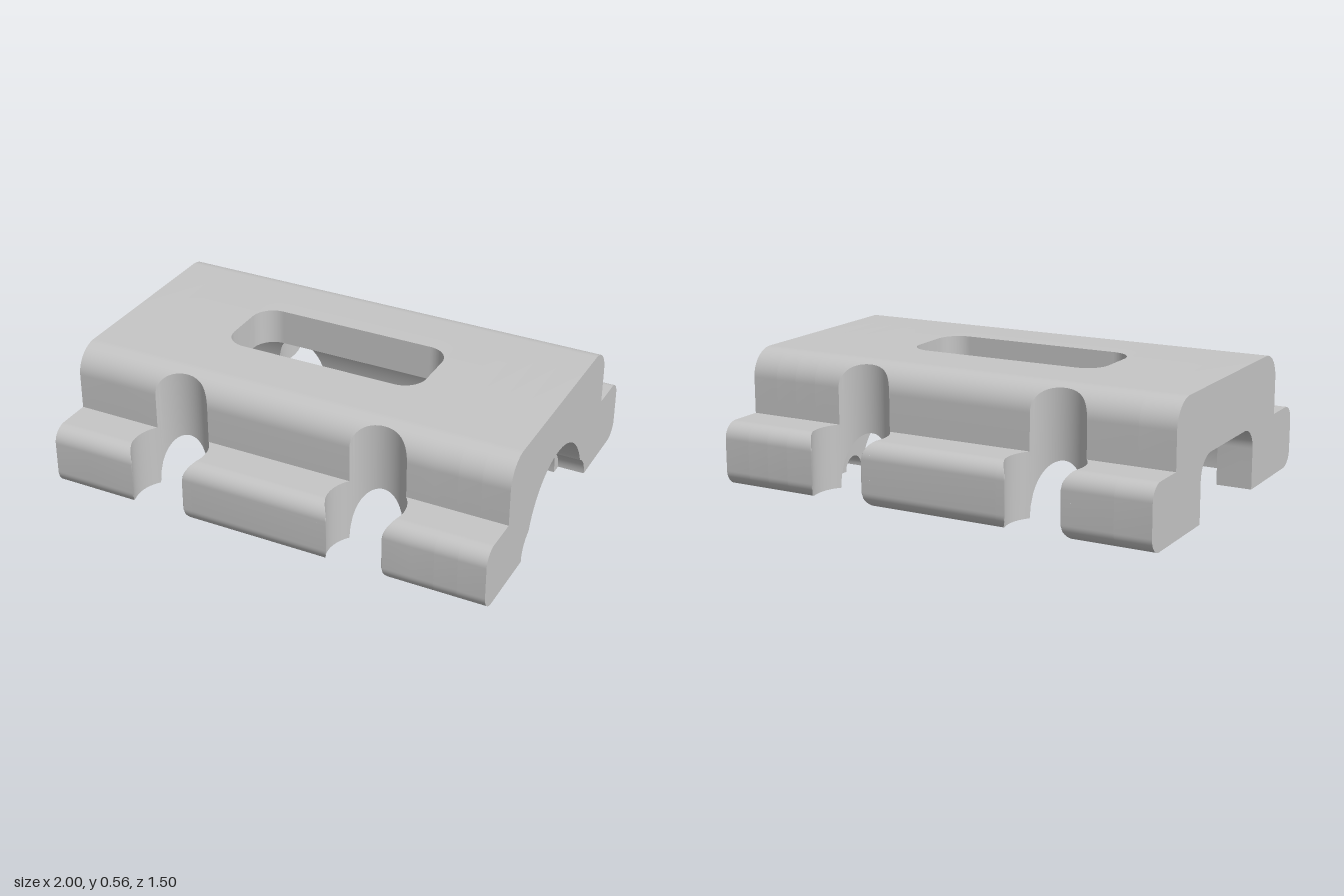
import * as THREE from 'three';
import { mergeGeometries, toCreasedNormals } from 'three/addons/utils/BufferGeometryUtils.js';

const NOTCH = { xs: [-0.49, 0.43], z: 0.64, r: 0.165 };
const SLOT = { x0: -0.49, x1: 0.43, half: 0.18, r: 0.1 };
const CAVITY = { x0: -0.84, x1: 0.68, r: 0.534, top: 0.4 };
const SHOULDER = 0.535;
const EPS = 1e-5;

// points [z, y] along an arc
function arc(cz, cy, r, from, to, n = 16) {
  return Array.from({ length: n + 1 }, (_, i) => {
    const t = from + (to - from) * i / n;
    return [cz + r * Math.cos(t), cy + r * Math.sin(t)];
  });
}
const Q = Math.PI / 2;

// half profiles from the middle plane outwards
const topProfile = [[0, 0.56], ...arc(0.415, 0.44, 0.12, Q, 0), [SHOULDER, 0.28], ...arc(0.68, 0.21, 0.07, Q, 0)];
const footCurve = arc(0.68, 0.07, 0.07, -Q, 0);
// round cavity with a flat ceiling
const cavityProfile = [[0, CAVITY.top],
  ...arc(0, 0, CAVITY.r, Math.asin(CAVITY.top / CAVITY.r), 0, 32), ...footCurve];

// part of a half profile lying between z = a and z = b
function clip(list, a, b) {
  const at = z => {
    for (let i = 1; i < list.length; i++) {
      const [p, q] = [list[i - 1], list[i]];
      if (z <= q[0] && q[0] - p[0] > 1e-9) return p[1] + (q[1] - p[1]) * (z - p[0]) / (q[0] - p[0]);
    }
    return list[list.length - 1][1];
  };
  return list.map(([z, y]) => (z < a ? [a, at(a)] : z > b ? [b, at(b)] : [z, y]));
}

// solid between z = inner(x) and z = outer(x), lofted along x
function loft(xs, inner, outer, side) {
  const pos = [];
  const loops = xs.map(x => {
    const a = inner(x), b = outer(x);
    return [...clip(topProfile, a, b), ...clip(cavityProfile, a, b).reverse()]
      .map(([z, y]) => new THREE.Vector3(x, y, z * side));
  });
  const area = new THREE.Triangle();
  const tri = (p, q, r) => {
    if (area.set(p, q, r).getArea() < 1e-12) return;
    for (const v of side > 0 ? [p, q, r] : [p, r, q]) pos.push(v.x, v.y, v.z);
  };
  for (let i = 0; i + 1 < loops.length; i++) {
    const A = loops[i], B = loops[i + 1];
    for (let k = 0; k < A.length; k++) {
      const m = (k + 1) % A.length;
      if ([A[k], A[m], B[k], B[m]].every(v => Math.abs(v.z) < 1e-6)) continue;
      tri(A[k], A[m], B[m]);
      tri(A[k], B[m], B[k]);
    }
  }
  const g = new THREE.BufferGeometry();
  g.setAttribute('position', new THREE.Float32BufferAttribute(pos, 3));
  return g;
}

// smooth curves, sharp edges
function crease(g) {
  g.scale(100, 100, 100);
  const out = toCreasedNormals(g, 0.5);
  return out.scale(0.01, 0.01, 0.01);
}

// slot half width at x
function slotEdge(x) {
  if (x <= SLOT.x0 || x >= SLOT.x1) return 0;
  const d = Math.min(x - SLOT.x0, SLOT.x1 - x, SLOT.r);
  return SLOT.half - SLOT.r + Math.sqrt(Math.max(0, SLOT.r ** 2 - (SLOT.r - d) ** 2));
}

// outer limit at x, cut back by the round notches
function notchEdge(x) {
  for (const c of NOTCH.xs) {
    const d = Math.abs(x - c);
    if (d < NOTCH.r) return NOTCH.z - Math.sqrt(NOTCH.r ** 2 - d * d);
  }
  return 0.75;
}

function middleGeometry() {
  const xs = [CAVITY.x0, CAVITY.x1];
  const step = Math.sqrt(NOTCH.r ** 2 - (NOTCH.z - SHOULDER) ** 2);
  for (const c of NOTCH.xs) {
    for (const s of [1, -1]) xs.push(c + s * (NOTCH.r + EPS), c + s * (step - EPS), c + s * (step + EPS));
    for (let i = 0; i <= 48; i++) xs.push(c - (NOTCH.r - EPS) * Math.cos(Math.PI * i / 48));
  }
  for (const [x, s] of [[SLOT.x0, 1], [SLOT.x1, -1]]) {
    xs.push(x - s * EPS);
    for (let i = 0; i <= 10; i++) xs.push(x + s * (EPS + SLOT.r * (1 - Math.cos(Q * i / 10))));
  }
  xs.sort((p, q) => p - q);
  const parts = [];
  const mouth = Math.sqrt(NOTCH.r ** 2 - (0.75 - NOTCH.z) ** 2);
  for (const side of [1, -1]) {
    parts.push(loft(xs, slotEdge, notchEdge, side));
    // lips that curl round the mouth of each notch
    for (const c of NOTCH.xs) for (const s of [1, -1]) {
      const lip = Array.from({ length: 15 }, (_, i) =>
        c + s * (mouth + (NOTCH.r - mouth) * Math.sin(Q * i / 14)));
      if (s < 0) lip.reverse();
      const inner = x => Math.min(0.75, NOTCH.z + Math.sqrt(Math.max(0, NOTCH.r ** 2 - (x - c) ** 2)));
      parts.push(loft(lip, inner, () => 0.75, side));
    }
  }
  return crease(mergeGeometries(parts));
}

// end slab: full outline with an opening cut up from the bottom
function slabGeometry(x0, x1, opening) {
  const half = [...opening, ...footCurve, ...[...topProfile].reverse().slice(0, -1)];
  const all = [...half, ...half.map(([z, y]) => [-z, y]).reverse()];
  const pts = [];
  for (const [z, y] of all) {
    const v = new THREE.Vector2(z, y);
    if (!pts.length || pts[pts.length - 1].distanceTo(v) > 1e-5) pts.push(v);
  }
  if (pts[0].distanceTo(pts[pts.length - 1]) < 1e-5) pts.pop();
  const g = new THREE.ExtrudeGeometry(new THREE.Shape(pts), { depth: x1 - x0, bevelEnabled: false });
  g.rotateY(Q).translate(x0, 0, 0);
  return crease(g);
}

export function createModel() {
  const group = new THREE.Group();
  group.name = 'clampBlock';
  const grey = new THREE.MeshStandardMaterial({ color: 0xc6c6c6 });
  grey.name = 'plain grey';
  const add = (name, geometry) => {
    const mesh = new THREE.Mesh(geometry, grey);
    mesh.name = name;
    group.add(mesh);
  };

  add('slottedBody', middleGeometry());

  // open end with a rounded rectangular doorway
  add('openEndWall', slabGeometry(-1, CAVITY.x0, [[0, 0.28], ...arc(0.185, 0.18, 0.1, Q, 0), [0.285, 0]]));

  // inner wall with a shaft bore and two small screw holes
  add('boredWall', slabGeometry(CAVITY.x1, 0.78, [
    ...arc(0, 0, 0.175, Q, 0, 24), ...arc(0.255, 0, 0.06, Math.PI, 0)]));

  // wide recess, then the same recess joined by two shallow screw head pockets
  const R = 0.32, r = 0.12, c = 0.25;
  add('recessWall', slabGeometry(0.78, 0.88, arc(0, 0, R, Q, 0, 32)));
  const z = (R * R - r * r + c * c) / (2 * c), y = Math.sqrt(R * R - z * z);
  add('pocketedEnd', slabGeometry(0.88, 1, [
    ...arc(0, 0, R, Q, Math.atan2(y, z), 28), ...arc(c, 0, r, Math.atan2(y, z - c), 0)]));

  return group;
}
